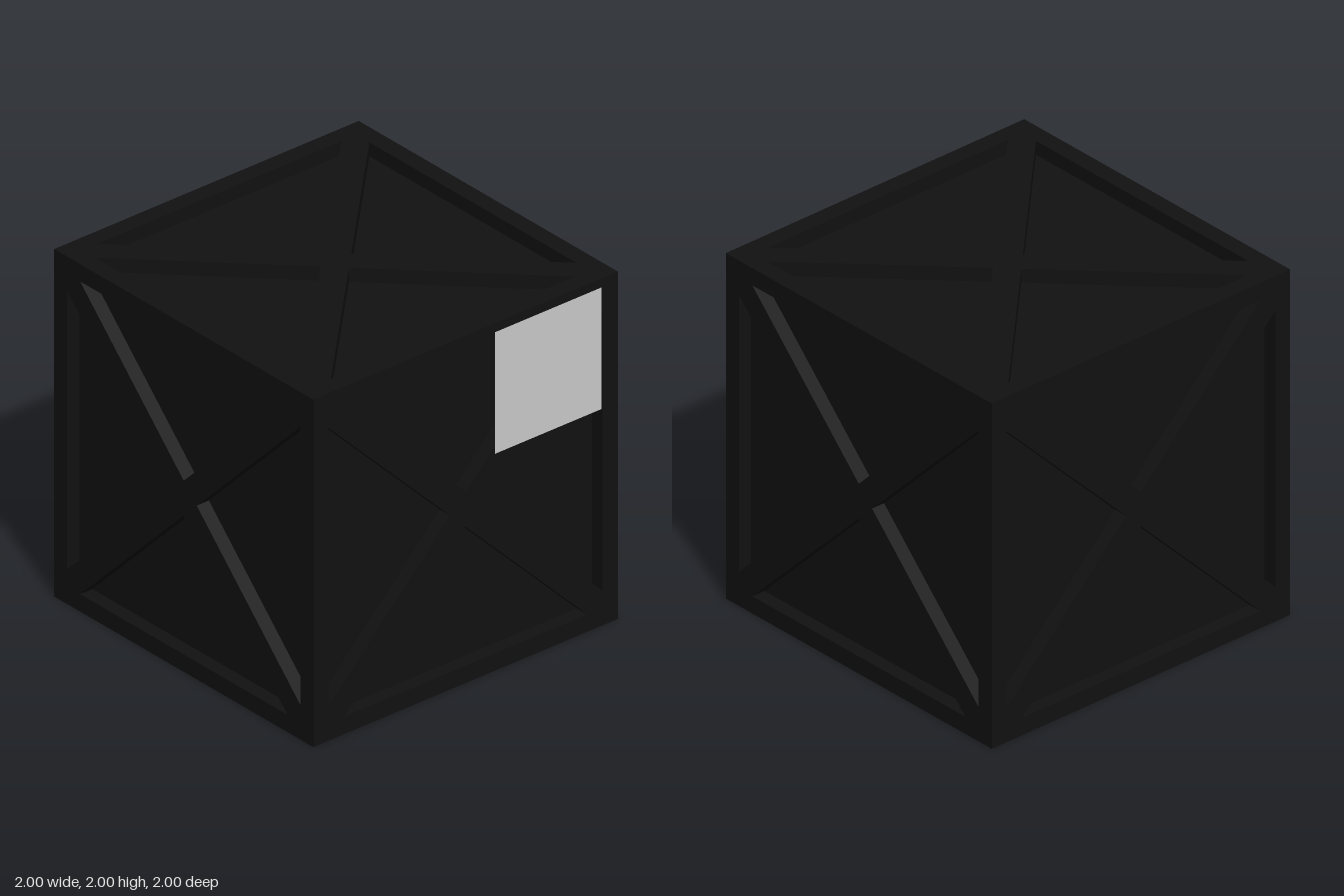
import * as THREE from 'three';

const HALF = 1;      // half the crate's side
const RIM = 0.1;     // frame width
const DEPTH = 0.08;  // recess of the panels
const BRACE = 0.1;   // half width of a brace, measured along the frame

// One crate side: square frame and crossed braces, cut by four triangles
function frameGeometry() {
  const shape = new THREE.Shape([
    new THREE.Vector2(-HALF, -HALF), new THREE.Vector2(HALF, -HALF),
    new THREE.Vector2(HALF, HALF), new THREE.Vector2(-HALF, HALF),
  ]);
  const inner = HALF - RIM;
  const centre = new THREE.Vector2();
  for (let i = 0; i < 4; i++) {
    const corners = [[BRACE - inner, inner], [inner - BRACE, inner], [0, BRACE]];
    shape.holes.push(new THREE.Path(corners.map(([x, y]) =>
      new THREE.Vector2(x, y).rotateAround(centre, i * Math.PI / 2))));
  }
  const geometry = new THREE.ExtrudeGeometry(shape, { depth: DEPTH, bevelEnabled: false });

  // Mitre the outer edge so neighbouring sides meet without overlapping
  const p = geometry.attributes.position;
  for (let i = 0; i < p.count; i++) {
    if (p.getZ(i) > DEPTH / 2) continue;
    const limit = HALF - DEPTH;
    p.setX(i, THREE.MathUtils.clamp(p.getX(i), -limit, limit));
    p.setY(i, THREE.MathUtils.clamp(p.getY(i), -limit, limit));
  }
  geometry.translate(0, 0, HALF - DEPTH);
  geometry.computeVertexNormals();
  return geometry;
}

export function createModel() {
  const model = new THREE.Group();
  model.name = 'crate';
  const dark = new THREE.MeshStandardMaterial({ color: 0x111111 });
  const grey = new THREE.MeshStandardMaterial({ color: 0xcccccc, side: THREE.DoubleSide });

  const add = (name, geometry, material) => {
    const mesh = new THREE.Mesh(geometry, material);
    mesh.name = name;
    mesh.position.y = HALF;
    model.add(mesh);
    return mesh;
  };

  // Recessed panels
  const core = 2 * (HALF - DEPTH);
  add('panels', new THREE.BoxGeometry(core, core, core), dark);

  // Braced frames on all six sides
  const frame = frameGeometry();
  const q = Math.PI / 2;
  const sides = [
    ['front', 0, 0], ['left', 0, q], ['back', 0, 2 * q],
    ['right', 0, -q], ['top', -q, 0], ['bottom', q, 0],
  ];
  for (const [name, rx, ry] of sides) add(name + 'Frame', frame, dark).rotation.set(rx, ry, 0);

  // Square label in the upper corner of the front
  const label = add('label', new THREE.PlaneGeometry(0.7, 0.7), grey);
  label.position.set(0.54, 1.6, HALF + 0.003);

  return model;
}
